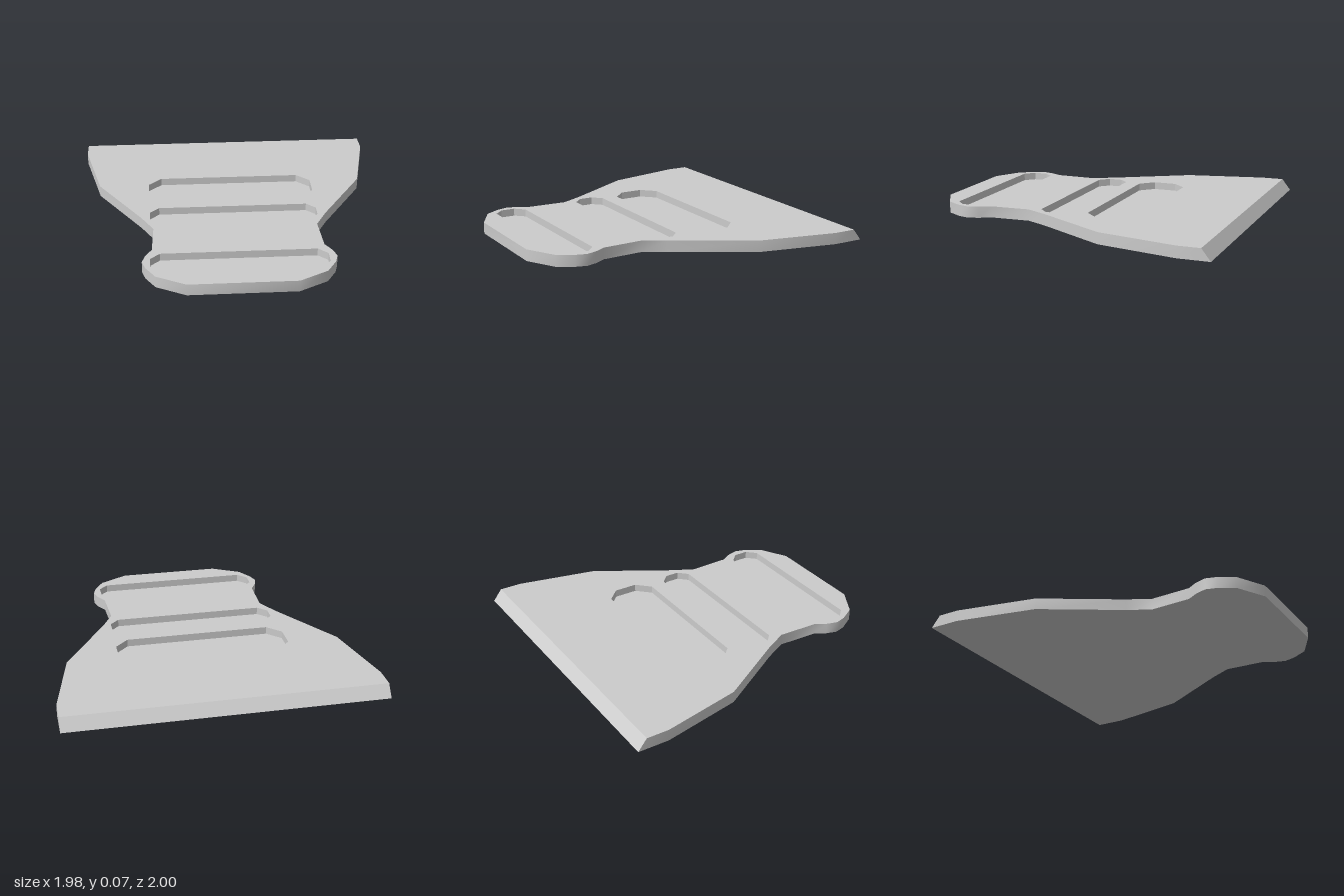
import * as THREE from 'three';
import { mergeGeometries, toCreasedNormals } from 'three/addons/utils/BufferGeometryUtils.js';

const TOP = 0.073, FLOOR = 0.025;

// Plan outlines are lists of [x, z], counter-clockwise seen from above.
const mirrored = half => [...half, ...half.map(([x, z]) => [-x, z]).reverse()];

// Plate outline; the back edge lies at zBack
const outline = zBack => mirrored([
  [0.33, 1], [0.51, 0.9], [0.57, 0.8], [0.59, 0.73], [0.57, 0.66], [0.53, 0.59],
  [0.52, 0.33], [0.595, 0.185], [0.88, -0.285], [0.99, -0.8], [0.99, zBack],
]);

// Slot outline: rectangle with chamfered corners
const slotOutline = ({ w, z0, z1, c }) => mirrored([
  [w - c, z1], [w, z1 - c], [w, z0 + c], [w - c, z0],
]);

// Flat horizontal face at height y, facing up or down
function face(points, y, holes = [], up = true) {
  const s = up ? -1 : 1;
  const vectors = list => list.map(([x, z]) => new THREE.Vector2(x, s * z));
  const shape = new THREE.Shape(vectors(points));
  shape.holes = holes.map(h => new THREE.Path(vectors(h)));
  return new THREE.ShapeGeometry(shape).rotateX(s * Math.PI / 2).translate(0, y, 0).toNonIndexed();
}

// Strip of quads between a lower and an upper loop
function wall(low, lowY, high, highY) {
  const pos = [];
  low.forEach((_, i) => {
    const j = (i + 1) % low.length;
    const a = [low[i][0], lowY, low[i][1]], b = [low[j][0], lowY, low[j][1]];
    const c = [high[j][0], highY, high[j][1]], d = [high[i][0], highY, high[i][1]];
    pos.push(...a, ...b, ...c, ...a, ...c, ...d);
  });
  const g = new THREE.BufferGeometry();
  g.setAttribute('position', new THREE.Float32BufferAttribute(pos, 3));
  g.setAttribute('uv', new THREE.Float32BufferAttribute(new Float32Array(pos.length / 3 * 2), 2));
  g.computeVertexNormals();
  return g;
}

export function createModel() {
  const group = new THREE.Group();
  group.name = 'bladePlate';
  const material = new THREE.MeshStandardMaterial({ color: 0xcccccc });
  const add = (name, parts) => {
    const mesh = new THREE.Mesh(toCreasedNormals(mergeGeometries(parts), 0.6), material);
    mesh.name = name;
    group.add(mesh);
  };

  const slots = [
    { name: 'backSlot', w: 0.55, z0: -0.37, z1: -0.05, c: 0.085 },
    { name: 'middleSlot', w: 0.54, z0: 0.055, z1: 0.26, c: 0.058 },
    { name: 'frontSlot', w: 0.54, z0: 0.64, z1: 0.848, c: 0.058 },
  ];

  // Plate with a bevelled back edge, open at the slots
  const low = outline(-1), high = outline(-0.943);
  add('plate', [
    face(high, TOP, slots.map(slotOutline)),
    face(low, 0, [], false),
    wall(low, 0, high, TOP),
  ]);

  // Recessed slots: floor and inward-facing walls
  for (const slot of slots) {
    const loop = slotOutline(slot), inward = [...loop].reverse();
    add(slot.name, [face(loop, FLOOR), wall(inward, FLOOR, inward, TOP)]);
  }
  return group;
}
